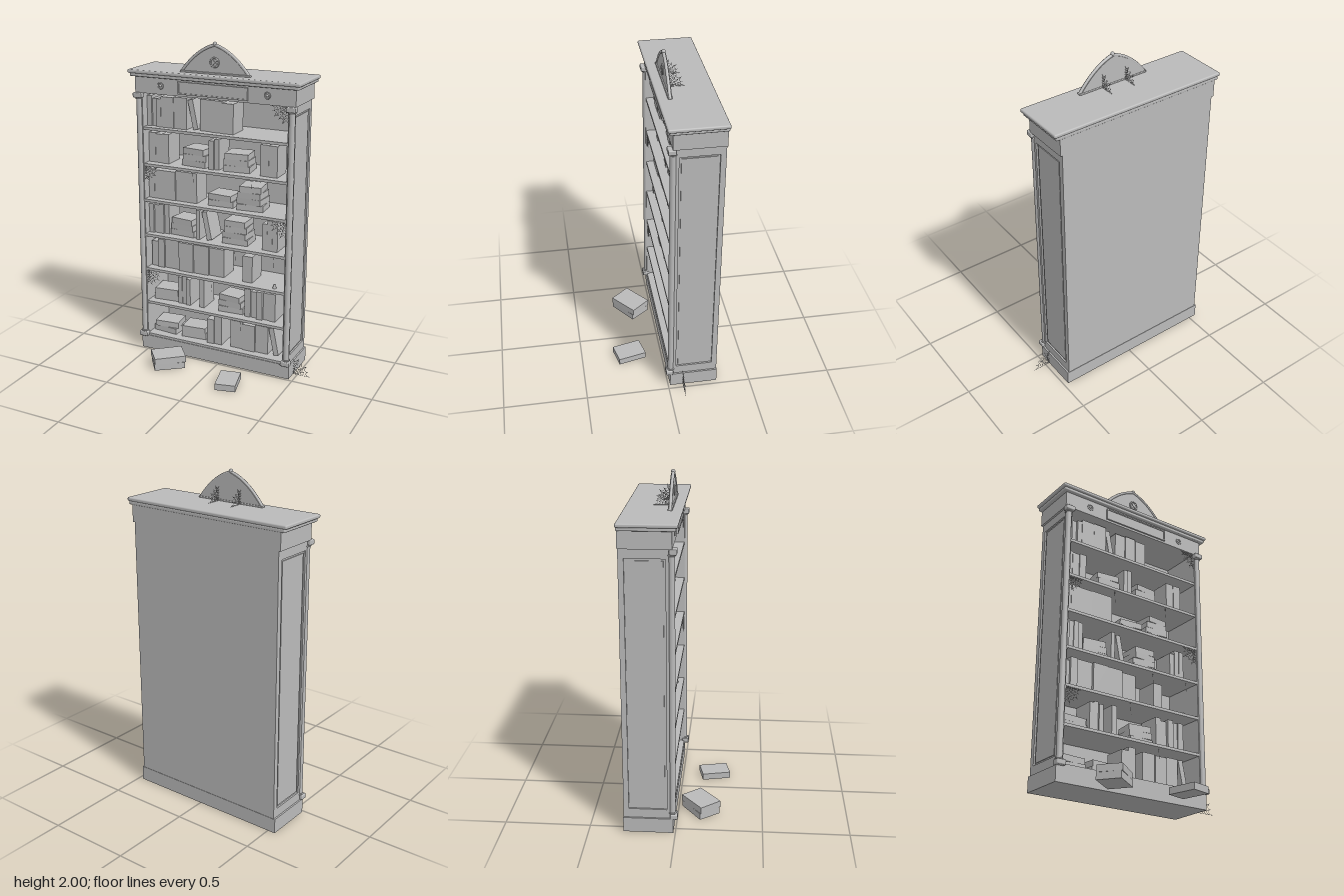
import * as THREE from 'three';
import { mergeGeometries } from 'three/addons/utils/BufferGeometryUtils.js';
import { RoundedBoxGeometry } from 'three/addons/geometries/RoundedBoxGeometry.js';

export function createModel() {
  const grey = new THREE.MeshStandardMaterial({ color: 0xbababa });
  grey.name = 'plain grey';
  const model = new THREE.Group();
  const bookcase = new THREE.Group();
  bookcase.name = 'bookcase';
  bookcase.position.x = -0.0375;
  model.add(bookcase);

  const V = (x, y, z) => new THREE.Vector3(x, y, z);
  const add = (parent, name, geo, x = 0, y = 0, z = 0) => {
    const m = new THREE.Mesh(geo, grey);
    m.name = name;
    m.position.set(x, y, z);
    parent.add(m);
    return m;
  };
  // box given by its limits, with optional rounded edges
  const box = (parent, name, x0, x1, y0, y1, z0, z1, r = 0) => {
    const s = [x1 - x0, y1 - y0, z1 - z0];
    const g = r ? new RoundedBoxGeometry(...s, 2, r) : new THREE.BoxGeometry(...s);
    return add(parent, name, g, (x0 + x1) / 2, (y0 + y1) / 2, (z0 + z1) / 2);
  };

  // Carcass
  box(bookcase, 'plinth', -0.51, 0.51, 0, 0.09, -0.3, -0.012);
  box(bookcase, 'backPanel', -0.5, 0.5, 0.09, 1.675, -0.298, -0.288);
  box(bookcase, 'frieze', -0.512, 0.512, 1.675, 1.778, -0.3, -0.012);
  box(bookcase, 'corniceMoulding', -0.535, 0.535, 1.774, 1.794, -0.302, 0.01, 0.006);
  box(bookcase, 'corniceTop', -0.546, 0.546, 1.793, 1.815, -0.305, 0.02, 0.008);

  // Shelves
  const floorY = i => 0.105 + 0.2272 * i;
  for (let i = 0; i < 7; i++) {
    box(bookcase, 'shelf', -0.468, 0.468, floorY(i) - 0.017, floorY(i), -0.29, -0.016);
  }

  // Sides with framed panels, and round columns with square blocks
  for (const s of [-1, 1]) {
    const side = (name, xa, xb, ...rest) =>
      box(bookcase, name, Math.min(s * xa, s * xb), Math.max(s * xa, s * xb), ...rest);
    side('sideBoard', 0.466, 0.49, 0.09, 1.675, -0.298, -0.014);
    side('sideStile', 0.49, 0.5, 0.09, 1.675, -0.298, -0.267);
    side('sideStile', 0.49, 0.5, 0.09, 1.675, -0.048, -0.014);
    side('sideRail', 0.49, 0.5, 0.09, 0.145, -0.267, -0.048);
    side('sideRail', 0.49, 0.5, 1.622, 1.675, -0.267, -0.048);
    side('sidePanel', 0.49, 0.495, 0.157, 1.61, -0.255, -0.06);
    add(bookcase, 'column', new THREE.CylinderGeometry(0.018, 0.018, 1.53, 16), s * 0.489, 0.88, -0.017);
    for (const [y, name] of [[0.105, 'columnBase'], [1.662, 'columnCapital']]) {
      side(name, 0.46, 0.518, y - 0.015, y + 0.015, -0.03, 0.013, 0.006);
      const ring = add(bookcase, name + 'Ring', new THREE.TorusGeometry(0.019, 0.005, 6, 16),
        s * 0.489, y + (y < 1 ? 0.02 : -0.02), -0.017);
      ring.rotation.x = Math.PI / 2;
    }
    // frieze rosette
    add(bookcase, 'rosette', new THREE.TorusGeometry(0.018, 0.003, 6, 16), s * 0.34, 1.727, -0.012);
    add(bookcase, 'rosetteCentre', new THREE.SphereGeometry(0.008, 10, 6), s * 0.34, 1.727, -0.012);
  }

  // Raised plaque on the frieze
  box(bookcase, 'plaque', -0.218, 0.218, 1.692, 1.76, -0.014, -0.007);
  for (const y of [1.692, 1.758]) box(bookcase, 'plaqueTrim', -0.222, 0.222, y - 0.004, y + 0.004, -0.014, -0.002);
  for (const x of [-0.218, 0.218]) box(bookcase, 'plaqueTrim', x - 0.004, x + 0.004, 1.692, 1.758, -0.014, -0.002);

  // Arched pediment with trim, finial and wheel medallion
  const arch = new THREE.Shape();
  arch.moveTo(0.215, 0);
  arch.quadraticCurveTo(0.115, 0.135, 0, 0.165);
  arch.quadraticCurveTo(-0.115, 0.135, -0.215, 0);
  add(bookcase, 'pediment', new THREE.ExtrudeGeometry(arch, { depth: 0.016, bevelEnabled: false }), 0, 1.814, -0.058);
  for (const s of [-1, 1]) {
    const curve = new THREE.QuadraticBezierCurve3(V(s * 0.215, 0.004, 0), V(s * 0.115, 0.137, 0), V(0, 0.168, 0));
    add(bookcase, 'pedimentTrim', new THREE.TubeGeometry(curve, 16, 0.0095, 8), 0, 1.814, -0.046);
  }
  box(bookcase, 'pedimentSill', -0.222, 0.222, 1.813, 1.825, -0.06, -0.034, 0.004);
  add(bookcase, 'finial', new THREE.SphereGeometry(0.012, 12, 8), 0, 1.988, -0.046);
  add(bookcase, 'medallionRing', new THREE.TorusGeometry(0.026, 0.005, 8, 24), 0, 1.883, -0.04);
  for (let i = 0; i < 2; i++) {
    const spoke = add(bookcase, 'medallionSpoke', new THREE.BoxGeometry(0.05, 0.007, 0.008), 0, 1.883, -0.04);
    spoke.rotation.z = Math.PI / 4 + i * Math.PI / 2;
  }

  const books = new THREE.Group();
  books.name = 'books';
  model.add(books);
  let seed = 7;
  const rand = () => (seed = (seed * 16807) % 2147483647) / 2147483647;

  // Upright books: shelf, left, right, count
  const runs = [
    [0, -0.1, 0, 2], [0, 0.055, 0.31, 3],
    [1, -0.31, -0.22, 3], [1, -0.16, -0.125, 1], [1, 0.15, 0.355, 5],
    [2, -0.495, -0.4, 2], [2, -0.4, 0.01, 4], [2, 0.135, 0.2, 1],
    [3, -0.5, -0.367, 4], [3, -0.177, -0.15, 1], [3, 0.26, 0.362, 3],
    [4, -0.5, -0.46, 1], [4, -0.46, -0.171, 2],
    [5, -0.5, -0.36, 3], [5, -0.09, -0.024, 2], [5, 0.24, 0.35, 2],
    [6, -0.5, -0.404, 3], [6, -0.404, -0.23, 2], [6, -0.15, 0.071, 3],
  ];
  for (const [shelf, x0, x1, n] of runs) {
    const w = (x1 - x0) / n, y = floorY(shelf);
    for (let k = 0; k < n; k++) {
      const x = x0 + w * k, front = -0.055 - 0.02 * rand(), h = 0.19 - 0.03 * rand() ** 2;
      box(books, 'uprightBook', x + 0.0008, x + w - 0.0008, y, y + h, front - 0.14, front);
    }
  }

  // Piles of lying books: shelf, centre, count
  const piles = [[0, -0.405, 2], [0, -0.21, 2], [1, -0.405, 2], [1, 0.05, 3], [3, -0.274, 3], [3, 0.077, 4],
    [4, -0.02, 2], [4, 0.17, 4], [5, -0.19, 3], [5, 0.08, 3]];
  for (const [shelf, x, n] of piles) {
    for (let k = 0; k < n; k++) {
      const g = new THREE.BoxGeometry(0.165 - 0.01 * k, 0.037, 0.13);
      add(books, 'lyingBook', g, x, floorY(shelf) + 0.037 * (k + 0.5), -0.14).rotation.y = (rand() - 0.5) * 0.25;
    }
  }

  // Leaning books: shelf, centre
  for (const [shelf, x] of [[0, 0.347], [3, -0.107], [6, -0.195]]) {
    add(books, 'leaningBook', new THREE.BoxGeometry(0.032, 0.18, 0.14), x, floorY(shelf) + 0.092, -0.14).rotation.z = 0.2;
  }

  // Fallen books on the ground
  const fallen = (x, y, z, w, d, turn) => {
    add(books, 'fallenBook', new THREE.BoxGeometry(w, 0.04, d), x, y, z).rotation.y = turn;
  };
  fallen(-0.2765, 0.02, 0.134, 0.19, 0.14, 0.64);
  fallen(-0.2765, 0.06, 0.134, 0.194, 0.142, 0.69);
  fallen(0.167, 0.02, 0.2, 0.125, 0.175, 0.227);

  // Small ink pot on a shelf
  add(model, 'inkPot', new THREE.CylinderGeometry(0.007, 0.012, 0.025, 12), 0.35, floorY(2) + 0.0125, -0.06);

  // Cobwebs: spokes fanning from a corner, joined by sagging threads
  const strand = (a, b) => {
    const d = b.clone().sub(a);
    const g = new THREE.CylinderGeometry(0.001, 0.001, d.length(), 4);
    g.applyQuaternion(new THREE.Quaternion().setFromUnitVectors(V(0, 1, 0), d.normalize()));
    const c = a.clone().add(b).multiplyScalar(0.5);
    return g.translate(c.x, c.y, c.z);
  };
  const web = (corner, u, v, radius) => {
    const at = (angle, r) => corner.clone().addScaledVector(u, Math.cos(angle) * r).addScaledVector(v, Math.sin(angle) * r);
    const parts = [], step = Math.PI / 10;
    const reach = k => radius * (k % 2 ? 0.9 : 1);
    for (let k = 0; k <= 5; k++) {
      parts.push(strand(corner, at(k * step, reach(k))));
      if (k === 5) continue;
      for (let q = 1; q <= 5; q++) {
        const f = q / 5.4;
        const sag = at((k + 0.5) * step, f * 0.78 * radius);
        parts.push(strand(at(k * step, f * reach(k)), sag), strand(sag, at((k + 1) * step, f * reach(k + 1))));
      }
    }
    add(model, 'cobweb', mergeGeometries(parts));
  };
  const right = V(1, 0, 0), left = V(-1, 0, 0), up = V(0, 1, 0), down = V(0, -1, 0), back = V(0, 0, -1);
  web(V(0.427, 1.675, -0.02), left, down, 0.11);
  web(V(-0.503, 1.224, -0.02), right, down, 0.1);
  web(V(0.427, 0.997, -0.02), left, down, 0.11);
  web(V(-0.503, 0.542, -0.02), right, down, 0.105);
  web(V(0.47, 0.001, -0.09), right, up, 0.115);
  for (const x of [-0.114, 0.039]) web(V(x, 1.816, -0.058), back, up, 0.093);

  // Loose threads hanging from shelf edges: shelf, position
  for (const [shelf, x] of [[5, -0.18], [5, 0.2], [3, 0.1], [2, -0.06], [1, 0.14], [3, 0.35]]) {
    const y = floorY(shelf) - 0.017;
    add(model, 'thread', strand(V(x, y, -0.03), V(x + 0.006, y - 0.07, -0.03)));
  }
  return model;
}
